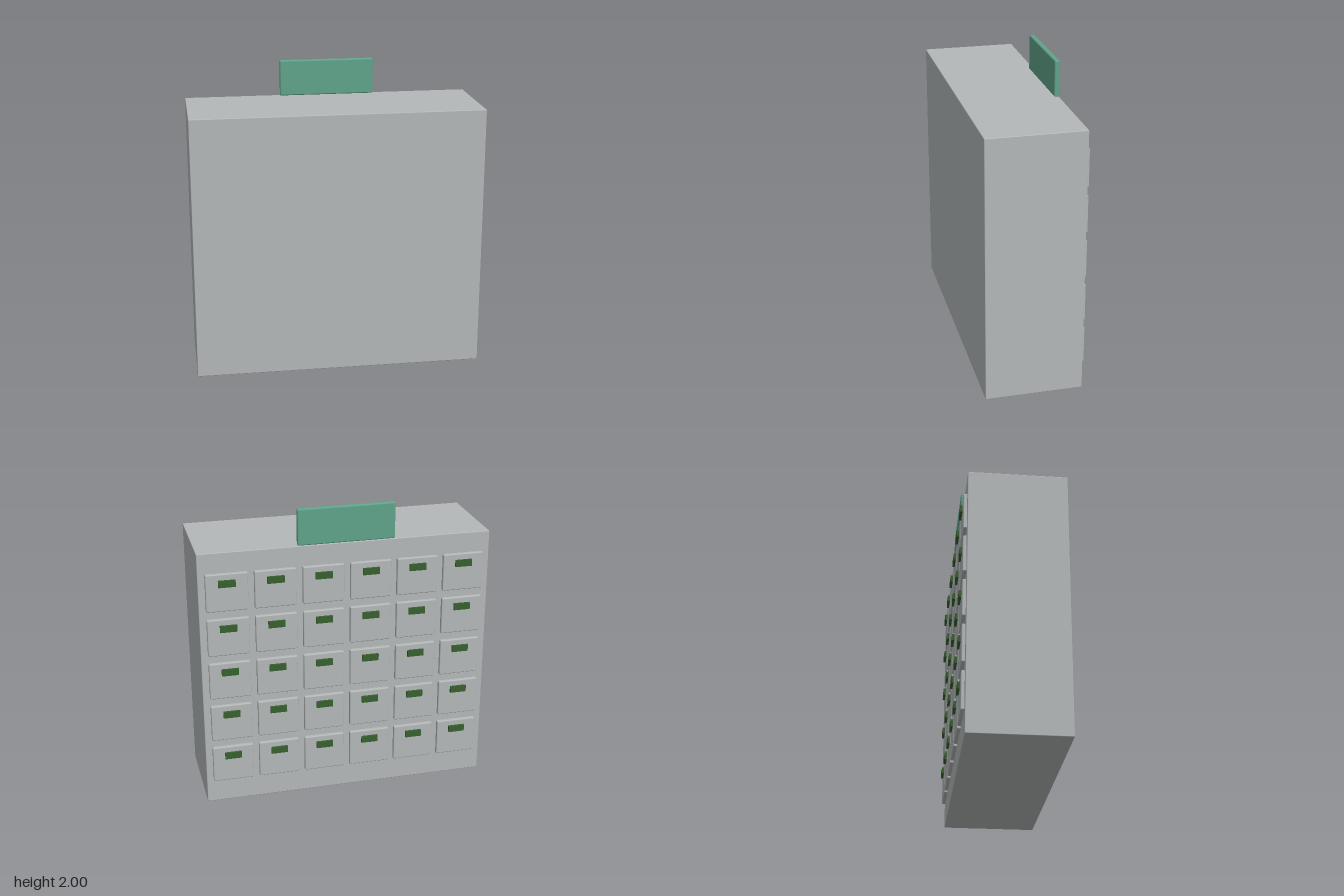
import * as THREE from 'three';
import { RoundedBoxGeometry } from 'three/addons/geometries/RoundedBoxGeometry.js';

const material = (name, color) => {
  const m = new THREE.MeshStandardMaterial({ color });
  m.name = name;
  return m;
};

export function createModel() {
  const group = new THREE.Group();
  group.name = 'lockerCabinet';
  const grey = material('cabinet grey', 0xb4b8b8);
  const green = material('sign green', 0x60a48a);
  const darkGreen = material('label dark green', 0x38602e);

  const add = (name, geometry, mat, x, y, z) => {
    const mesh = new THREE.Mesh(geometry, mat);
    mesh.name = name;
    mesh.position.set(x, y, z);
    group.add(mesh);
  };

  // Main body and the sign standing on its back edge
  add('cabinet', new RoundedBoxGeometry(1.916, 1.76, 0.635, 2, 0.005), grey, 0, 0.88, 0.0185);
  add('sign', new RoundedBoxGeometry(0.636, 0.239, 0.035, 3, 0.009), green, 0, 1.8805, -0.2825);

  // Grid of raised doors on the back, each with a small label
  const door = new RoundedBoxGeometry(0.27, 0.25, 0.04, 2, 0.007);
  const label = new THREE.BoxGeometry(0.11, 0.045, 0.016);
  const columns = 6, rows = 5;
  for (let row = 0; row < rows; row++) {
    for (let col = 0; col < columns; col++) {
      const x = (col - (columns - 1) / 2) * 0.311;
      const y = 0.286 + row * 0.3036;
      add('door', door, grey, x, y, -0.302);
      add('doorLabel', label, darkGreen, x, y + 0.063, -0.329);
    }
  }
  return group;
}
